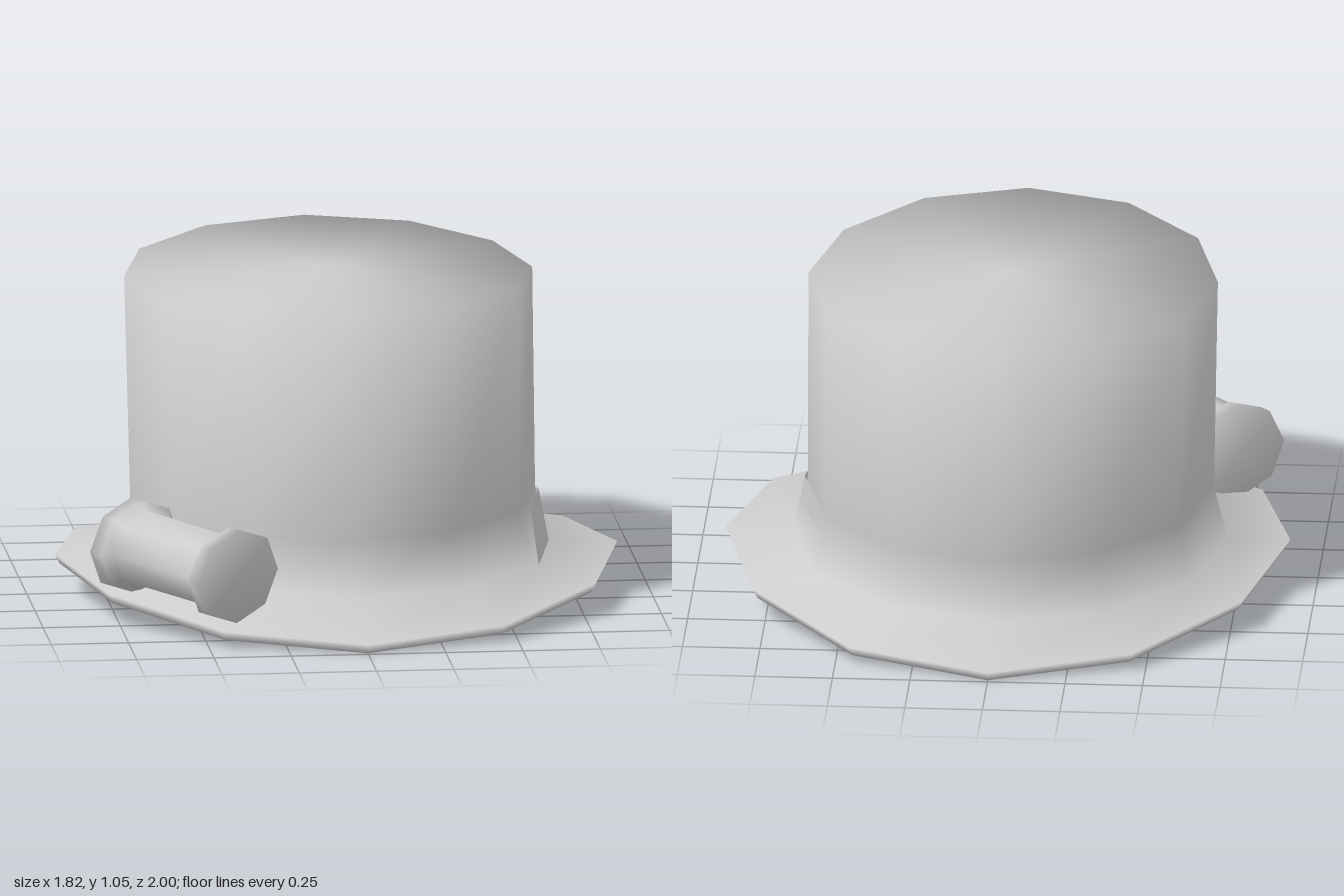
import * as THREE from 'three';

const felt = new THREE.MeshStandardMaterial({ color: 0xcccccc });
felt.name = 'pale grey';
const feltSheet = new THREE.MeshStandardMaterial({ color: 0xcccccc, side: THREE.DoubleSide });
feltSheet.name = 'pale grey sheet';

// Closed smooth body from elliptical rings, listed bottom to top.
// ring: { cx, cz, rx, rz, y, lift }, where lift raises (or lowers) the two sides.
function loft(rings, sides, bottomY, topY) {
  const pos = [], index = [];
  for (const { cx = 0, cz = 0, rx, rz, y, lift = 0 } of rings) {
    for (let i = 0; i < sides; i++) {
      const a = (i / sides) * Math.PI * 2, s = Math.sin(a);
      pos.push(cx + rx * s, y + lift * s * s, cz + rz * Math.cos(a));
    }
  }
  const first = rings[0], last = rings[rings.length - 1];
  const bottom = rings.length * sides, top = bottom + 1;
  pos.push(first.cx ?? 0, bottomY, first.cz ?? 0, last.cx ?? 0, topY, last.cz ?? 0);
  for (let i = 0; i < sides; i++) {
    const j = (i + 1) % sides;
    for (let r = 0; r < rings.length - 1; r++) {
      const a = r * sides, b = a + sides;
      index.push(a + i, a + j, b + j, a + i, b + j, b + i);
    }
    const t = (rings.length - 1) * sides;
    index.push(j, i, bottom, t + i, t + j, top);
  }
  const g = new THREE.BufferGeometry();
  g.setAttribute('position', new THREE.Float32BufferAttribute(pos, 3));
  g.setIndex(index);
  g.computeVertexNormals();
  return g;
}

function part(name, geometry, material) {
  const m = new THREE.Mesh(geometry, material);
  m.name = name;
  return m;
}

export function createModel() {
  const group = new THREE.Group();
  group.name = 'topHat';

  // Saddle-curved brim flowing into the flared crown
  group.add(part('brimAndCrown', loft([
    { rx: 0.895, rz: 0.985, y: 0, lift: 0.1 },
    { rx: 0.91, rz: 1, y: 0.03, lift: 0.1 },
    { cx: -0.01, cz: -0.03, rx: 0.7, rz: 0.77, y: 0.13, lift: 0.01 },
    { cx: -0.01, cz: -0.01, rx: 0.655, rz: 0.71, y: 0.31 },
    { cx: -0.02, cz: -0.05, rx: 0.66, rz: 0.75, y: 1.05, lift: -0.02 },
  ], 12, 0.06, 1.05), felt));

  // Flanged spool resting on the brim
  const spool = part('spool', loft([
    { rx: 0.175, rz: 0.155, y: -0.255 },
    { rx: 0.175, rz: 0.155, y: -0.205 },
    { rx: 0.145, rz: 0.125, y: -0.185 },
    { rx: 0.145, rz: 0.125, y: 0.185 },
    { rx: 0.175, rz: 0.155, y: 0.205 },
    { rx: 0.175, rz: 0.155, y: 0.255 },
  ], 8, -0.255, 0.255), felt);
  spool.rotation.order = 'YXZ';
  spool.rotation.set(Math.PI / 2 + 0.05, 0.653, 0);
  spool.position.set(-0.56, 0.245, 0.648);
  group.add(spool);

  // Folded card tucked against the left side of the crown
  const card = new THREE.BufferGeometry();
  card.setAttribute('position', new THREE.Float32BufferAttribute([
    0.62, 0.13, 0.35, 0.69, 0.13, 0, 0.6, 0.13, -0.35,
    0.595, 0.315, 0.335, 0.655, 0.31, 0, 0.57, 0.305, -0.345,
  ], 3));
  card.setIndex([0, 1, 4, 0, 4, 3, 1, 2, 5, 1, 5, 4]);
  const flat = card.toNonIndexed();
  flat.computeVertexNormals();
  group.add(part('foldedCard', flat, feltSheet));

  return group;
}
